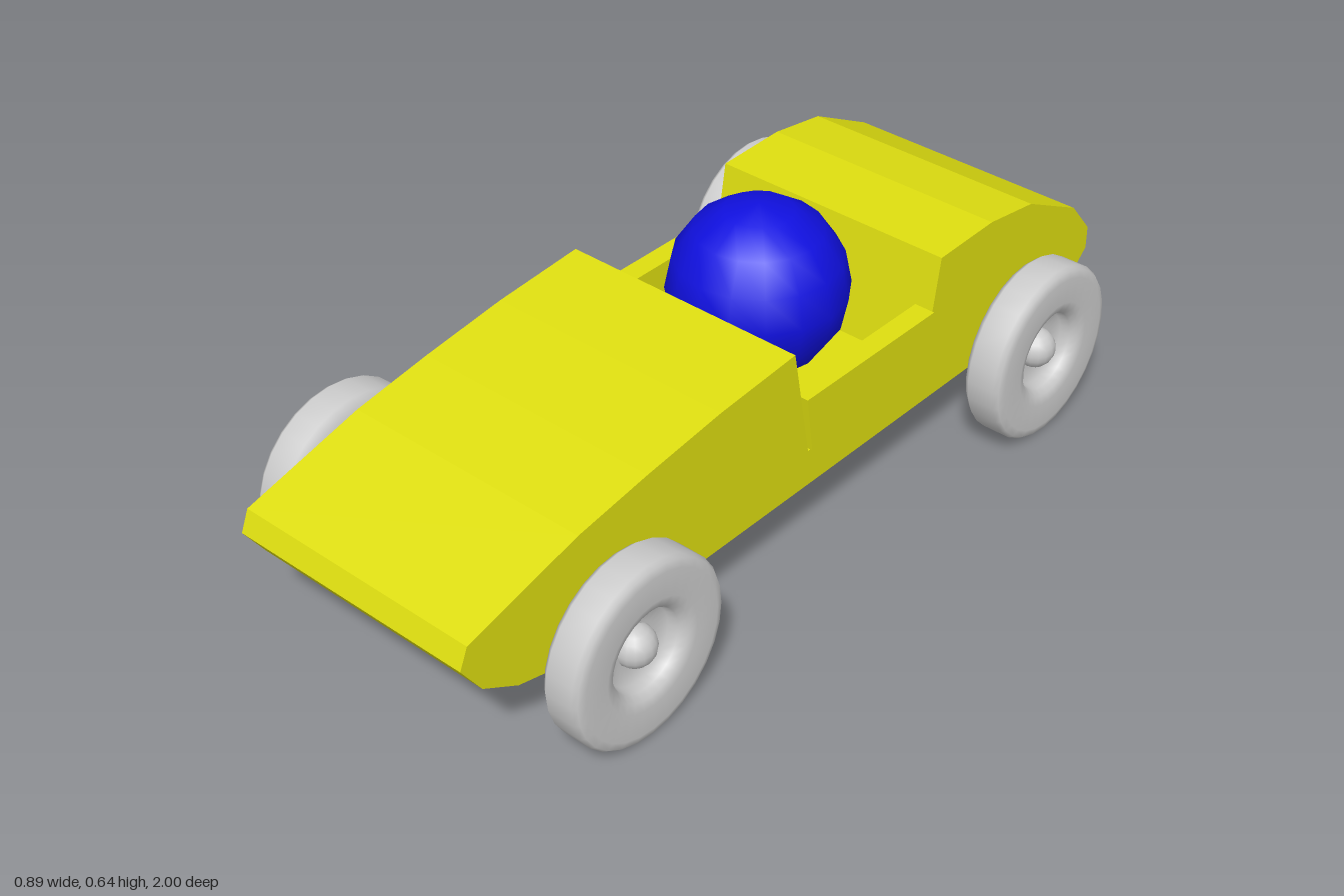
import * as THREE from 'three';

const YELLOW = 0xdede10, BLUE = 0x1010e0, GREY = 0xcccccc;
const material = (color, flatShading = false) => new THREE.MeshStandardMaterial({ color, flatShading });

function addMesh(parent, name, geometry, mat) {
  const mesh = new THREE.Mesh(geometry, mat);
  mesh.name = name;
  parent.add(mesh);
  return mesh;
}

// Extrudes a side outline of [z, y] points across x, centred on x = 0.
function sideExtrude(points, width) {
  const shape = new THREE.Shape(points.map(([z, y]) => new THREE.Vector2(z, y)));
  const geometry = new THREE.ExtrudeGeometry(shape, { depth: width, bevelEnabled: false });
  return geometry.rotateY(-Math.PI / 2).translate(width / 2, 0, 0);
}

export function createModel() {
  const car = new THREE.Group();
  car.name = 'toyCar';
  const paint = material(YELLOW, true);
  const grey = material(GREY);

  // Body outline with the cockpit cut out of its top
  const outline = [
    [0.76, 0.165], [0.86, 0.19], [0.95, 0.243], [1, 0.317], [0.98, 0.365],
    [0.69, 0.441], [0.5, 0.472], [0.29, 0.5], [0.065, 0.518],
    [0.015, 0.253], [-0.375, 0.253], [-0.42, 0.514],
    [-0.6, 0.519], [-0.75, 0.497], [-0.93, 0.405], [-1, 0.322],
    [-1, 0.267], [-0.925, 0.197], [-0.76, 0.165],
  ];
  addMesh(car, 'body', sideExtrude(outline, 0.6), paint);

  // Cockpit side panels
  const panel = [[0.01, 0.255], [0.03, 0.392], [-0.395, 0.392], [-0.372, 0.255]];
  for (const side of [1, -1]) {
    const mesh = addMesh(car, side > 0 ? 'leftCockpitPanel' : 'rightCockpitPanel', sideExtrude(panel, 0.05), paint);
    mesh.position.x = side * 0.282;
  }

  // Driver's round head
  const head = addMesh(car, 'driverHead', new THREE.SphereGeometry(0.2, 16, 8), material(BLUE));
  head.position.set(0, 0.44, -0.178);

  // Wheel profile: conical inner face, rounded tread, dished outer face
  const profile = [
    [0, -0.06], [0.045, -0.06], [0.17, -0.04], [0.195, -0.034], [0.207, -0.02],
    [0.207, 0.045], [0.2, 0.055], [0.183, 0.06], [0.125, 0.06], [0.105, 0.054],
    [0.092, 0.04], [0.085, 0.02], [0.05, 0.012], [0, 0.012],
  ].map(([r, h]) => new THREE.Vector2(r, h));
  const wheelGeometry = new THREE.LatheGeometry(profile, 28).rotateZ(-Math.PI / 2);
  const hubGeometry = new THREE.SphereGeometry(0.046, 16, 10);
  const axleGeometry = new THREE.CylinderGeometry(0.03, 0.03, 0.77, 16).rotateZ(Math.PI / 2);

  // Axles with a wheel and a round hub pin at each end
  for (const [label, z] of [['front', 0.65], ['rear', -0.663]]) {
    const assembly = new THREE.Group();
    assembly.name = label + 'Axle';
    assembly.position.set(0, 0.207, z);
    addMesh(assembly, label + 'AxleRod', axleGeometry, grey);
    for (const side of [1, -1]) {
      const wheel = new THREE.Group();
      wheel.name = label + (side > 0 ? 'LeftWheel' : 'RightWheel');
      wheel.position.x = side * 0.386;
      wheel.rotation.y = side > 0 ? 0 : Math.PI;
      addMesh(wheel, 'tyre', wheelGeometry, grey);
      addMesh(wheel, 'hubPin', hubGeometry, grey).position.x = 0.012;
      assembly.add(wheel);
    }
    car.add(assembly);
  }
  return car;
}
